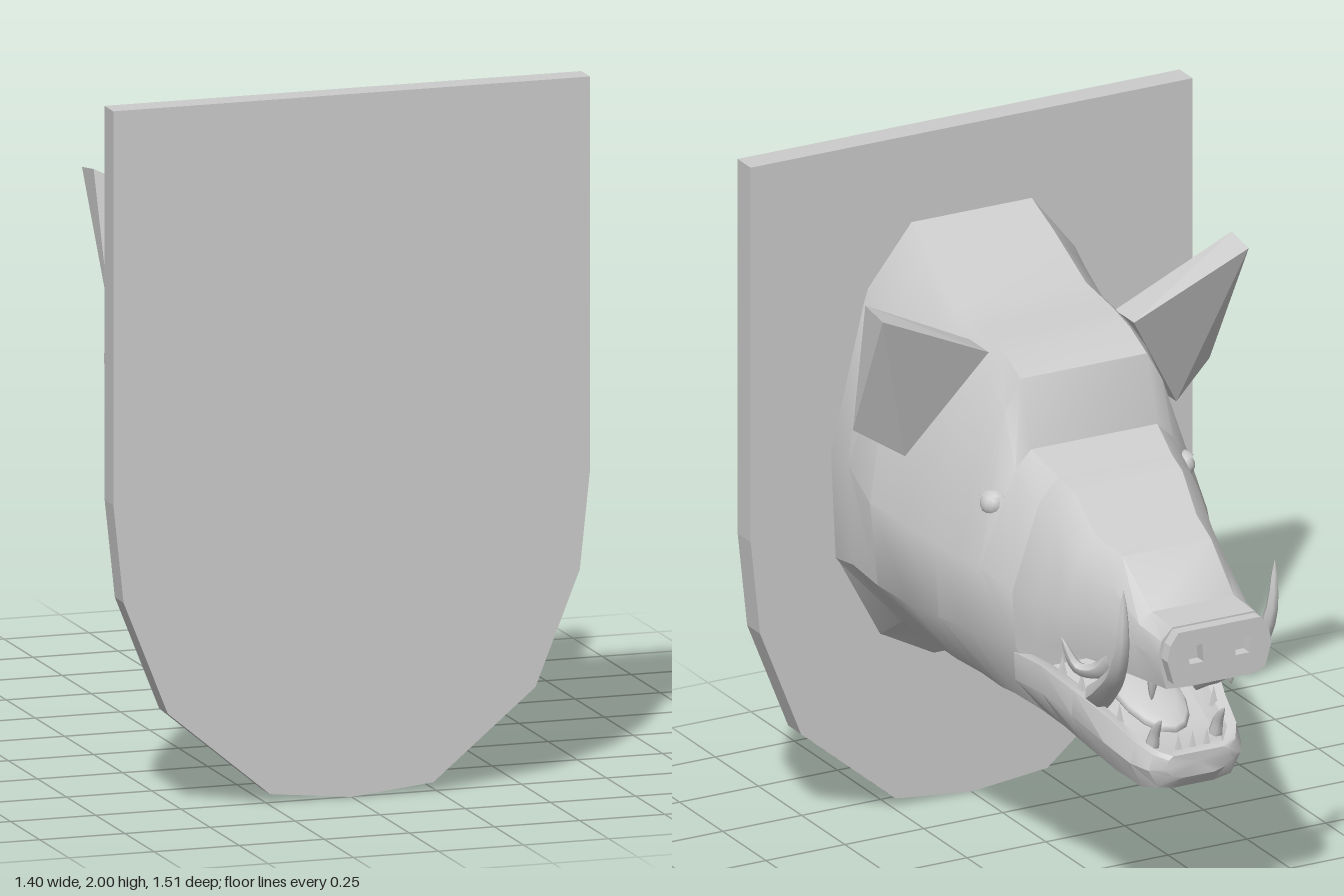
import * as THREE from 'three';
import { toCreasedNormals } from 'three/addons/utils/BufferGeometryUtils.js';
import { ConvexGeometry } from 'three/addons/geometries/ConvexGeometry.js';

const grey = new THREE.MeshStandardMaterial({ color: 0xcccccc, side: THREE.DoubleSide });
const flat = new THREE.MeshStandardMaterial({ color: 0xcccccc, flatShading: true });

// Skin over mirrored half sections: each row is [z, x, y, x, y, ...] from top to bottom, front end closed
function loft(rows) {
  const rings = rows.map(([z, ...xy]) => {
    const half = [];
    for (let i = 0; i < xy.length; i += 2) half.push([xy[i], xy[i + 1], z]);
    const other = half.map(([x, y]) => [-x, y, z]).reverse();
    return [...half, ...other];
  });
  const n = rings[0].length, index = [];
  for (let i = 0; i < rings.length - 1; i++) {
    for (let k = 0; k < n; k++) {
      const a = i * n + k, b = i * n + (k + 1) % n;
      index.push(a, b, b + n, a, b + n, a + n);
    }
  }
  const last = rings[rings.length - 1], base = (rings.length - 1) * n;
  const mid = [0, last.reduce((s, p) => s + p[1], 0) / n, last[0][2]];
  for (let k = 0; k < n; k++) index.push(base + k, base + (k + 1) % n, base + n);
  const geo = new THREE.BufferGeometry();
  geo.setAttribute('position', new THREE.Float32BufferAttribute([...rings.flat(), mid].flat(), 3));
  geo.setIndex(index);
  return toCreasedNormals(geo, 0.6);
}

// Curved tube that tapers to a point
function horn(points, radius, sides = 6) {
  const curve = new THREE.CatmullRomCurve3(points.map(p => new THREE.Vector3(...p)));
  const steps = 12, geo = new THREE.TubeGeometry(curve, steps, radius, sides);
  const pos = geo.attributes.position, v = new THREE.Vector3();
  for (let i = 0; i < pos.count; i++) {
    const t = Math.floor(i / (sides + 1)) / steps;
    const c = curve.getPointAt(t);
    v.fromBufferAttribute(pos, i).sub(c).multiplyScalar(Math.pow(1 - t, 0.6)).add(c);
    pos.setXYZ(i, v.x, v.y, v.z);
  }
  geo.computeVertexNormals();
  return geo;
}

// Shape mirrored about x = 0
function mirroredShape(half) {
  const other = half.filter(p => p[0] > 0).map(([x, y]) => [-x, y]).reverse();
  return new THREE.Shape([...half, ...other].map(p => new THREE.Vector2(...p)));
}

export function createModel() {
  const model = new THREE.Group();
  model.name = 'mountedBoarHead';
  const add = (name, geo, mat = grey, parent = model) => {
    const mesh = new THREE.Mesh(geo, mat);
    mesh.name = name;
    parent.add(mesh);
    return mesh;
  };

  // Wall plaque
  const board = mirroredShape([[0, 0], [0.24, 0.025], [0.54, 0.275], [0.67, 0.6], [0.7, 0.88], [0.7, 2]]);
  add('plaque', new THREE.ExtrudeGeometry(board, { depth: 0.075, bevelEnabled: false }), flat).position.z = 0.68;

  // Neck and skull, back to mouth corner
  add('head', loft([
    [0.69, 0.19, 1.745, 0.33, 1.57, 0.445, 1.1, 0.43, 0.78, 0.29, 0.52, 0.12, 0.43],
    [0.57, 0.2, 1.68, 0.3, 1.55, 0.45, 1.1, 0.435, 0.8, 0.28, 0.6, 0.12, 0.53],
    [0.4, 0.21, 1.58, 0.26, 1.53, 0.475, 1.05, 0.45, 0.8, 0.28, 0.6, 0.12, 0.54],
    [0.25, 0.21, 1.56, 0.26, 1.51, 0.455, 1.04, 0.43, 0.79, 0.28, 0.6, 0.12, 0.535],
    [0.13, 0.2, 1.545, 0.25, 1.48, 0.42, 1.02, 0.405, 0.79, 0.27, 0.6, 0.12, 0.53],
    [0.03, 0.2, 1.5, 0.25, 1.41, 0.39, 1.0, 0.375, 0.79, 0.26, 0.59, 0.11, 0.535],
    [-0.03, 0.2, 1.31, 0.25, 1.26, 0.365, 0.99, 0.355, 0.79, 0.25, 0.59, 0.1, 0.53],
    [-0.15, 0.18, 1.265, 0.24, 1.2, 0.325, 0.95, 0.315, 0.785, 0.22, 0.57, 0.1, 0.515],
  ]));

  // Upper snout
  add('snout', loft([
    [-0.15, 0.18, 1.265, 0.24, 1.2, 0.325, 0.95, 0.315, 0.815, 0.2, 0.83],
    [-0.23, 0.17, 1.245, 0.225, 1.17, 0.3, 0.95, 0.29, 0.815, 0.18, 0.85],
    [-0.33, 0.16, 1.15, 0.21, 1.1, 0.265, 0.94, 0.25, 0.82, 0.16, 0.86],
    [-0.45, 0.14, 1.125, 0.185, 1.06, 0.225, 0.94, 0.21, 0.82, 0.14, 0.86],
    [-0.6, 0.13, 1.01, 0.17, 0.98, 0.185, 0.92, 0.17, 0.82, 0.12, 0.84],
    [-0.72, 0.13, 1.005, 0.165, 0.97, 0.175, 0.92, 0.15, 0.825, 0.1, 0.82],
  ]));

  // Nose pad with nostril holes
  const nose = mirroredShape([[0.1, 0.835], [0.145, 0.85], [0.165, 0.92], [0.155, 0.965], [0.13, 1.0]]);
  for (const s of [-1, 1]) {
    nose.holes.push(new THREE.Path([[0.05, 0.9], [0.095, 0.9], [0.1, 0.945], [0.055, 0.955]]
      .map(([x, y]) => new THREE.Vector2(s * x, y))));
  }
  add('nosePad', new THREE.ExtrudeGeometry(nose, { depth: 0.035, bevelEnabled: false }), flat).position.z = -0.755;

  // Lower jaw with hollow mouth floor
  add('lowerJaw', loft([
    [-0.14, 0.2, 0.71, 0.27, 0.755, 0.315, 0.765, 0.31, 0.68, 0.22, 0.57, 0.1, 0.515],
    [-0.22, 0.17, 0.68, 0.23, 0.73, 0.275, 0.745, 0.27, 0.66, 0.2, 0.55, 0.09, 0.505],
    [-0.32, 0.14, 0.64, 0.18, 0.685, 0.225, 0.695, 0.23, 0.62, 0.18, 0.52, 0.08, 0.49],
    [-0.45, 0.12, 0.6, 0.15, 0.64, 0.185, 0.65, 0.2, 0.58, 0.16, 0.49, 0.08, 0.472],
    [-0.56, 0.11, 0.575, 0.13, 0.605, 0.16, 0.61, 0.175, 0.55, 0.14, 0.475, 0.07, 0.46],
    [-0.61, 0.09, 0.585, 0.11, 0.59, 0.13, 0.585, 0.145, 0.54, 0.115, 0.485, 0.06, 0.475],
    [-0.635, 0.06, 0.58, 0.08, 0.58, 0.095, 0.57, 0.105, 0.545, 0.085, 0.52, 0.05, 0.51],
  ]));

  // Tongue
  const tongue = add('tongue', new THREE.SphereGeometry(1, 16, 8));
  tongue.scale.set(0.1, 0.03, 0.2);
  tongue.position.set(0, 0.66, -0.32);
  tongue.rotation.x = -0.35;

  const tooth = new THREE.ConeGeometry(0.014, 0.06, 5);
  for (const [s, side] of [[1, 'left'], [-1, 'right']]) {
    const m = ([x, y, z]) => [s * x, y, z];

    // Wedge ear: narrow front face, wider back face
    const ear = [[0.23, 1.54, 0.16], [0.58, 1.705, 0.135], [0.43, 1.225, 0.28],
      [0.23, 1.54, 0.27], [0.58, 1.72, 0.235], [0.565, 1.31, 0.335], [0.43, 1.225, 0.35]];
    add(side + 'Ear', new ConvexGeometry(ear.map(p => new THREE.Vector3(...m(p)))), flat);

    // Eye with upper lid
    const eye = new THREE.Group();
    eye.name = side + 'Eye';
    eye.position.set(s * 0.3, 1.155, 0.01);
    eye.rotation.z = s * 0.3;
    add('eyeball', new THREE.SphereGeometry(0.037, 12, 8), grey, eye);
    const lid = add('eyelid', new THREE.SphereGeometry(0.043, 12, 4, 0, Math.PI * 2, 0, 1.2), grey, eye);
    lid.scale.z = 1.3;
    lid.rotation.x = 0.3;
    model.add(eye);

    // Large lower and small upper tusks
    add(side + 'LowerTusk', horn([[0.16, 0.67, -0.34], [0.19, 0.74, -0.45], [0.22, 0.84, -0.57],
      [0.235, 0.95, -0.625], [0.24, 1.11, -0.637]].map(m), 0.042));
    add(side + 'UpperTusk', horn([[0.18, 0.84, -0.47], [0.21, 0.79, -0.43], [0.24, 0.785, -0.37],
      [0.272, 0.87, -0.335]].map(m), 0.03));

    // Front fangs
    add(side + 'UpperFang', horn([[0.12, 0.84, -0.6], [0.125, 0.79, -0.595], [0.125, 0.74, -0.59]].map(m), 0.02));
    add(side + 'LowerFang', horn([[0.1, 0.59, -0.55], [0.1, 0.63, -0.565], [0.1, 0.68, -0.6]].map(m), 0.022));

    // Cheek teeth along both jaws
    for (let i = 0; i < 4; i++) {
      const z = -0.24 - i * 0.07;
      add(side + 'LowerTooth', tooth, flat).position.set(s * (0.215 - i * 0.022), 0.745 - i * 0.03, z);
      const upper = add(side + 'UpperTooth', tooth, flat);
      upper.position.set(s * (0.23 - i * 0.025), 0.82, z);
      upper.rotation.x = Math.PI;
    }
  }

  // Lower incisors
  for (let i = -1; i <= 1; i++) add('incisor', tooth, flat).position.set(i * 0.045, 0.6, -0.6);
  return model;
}
